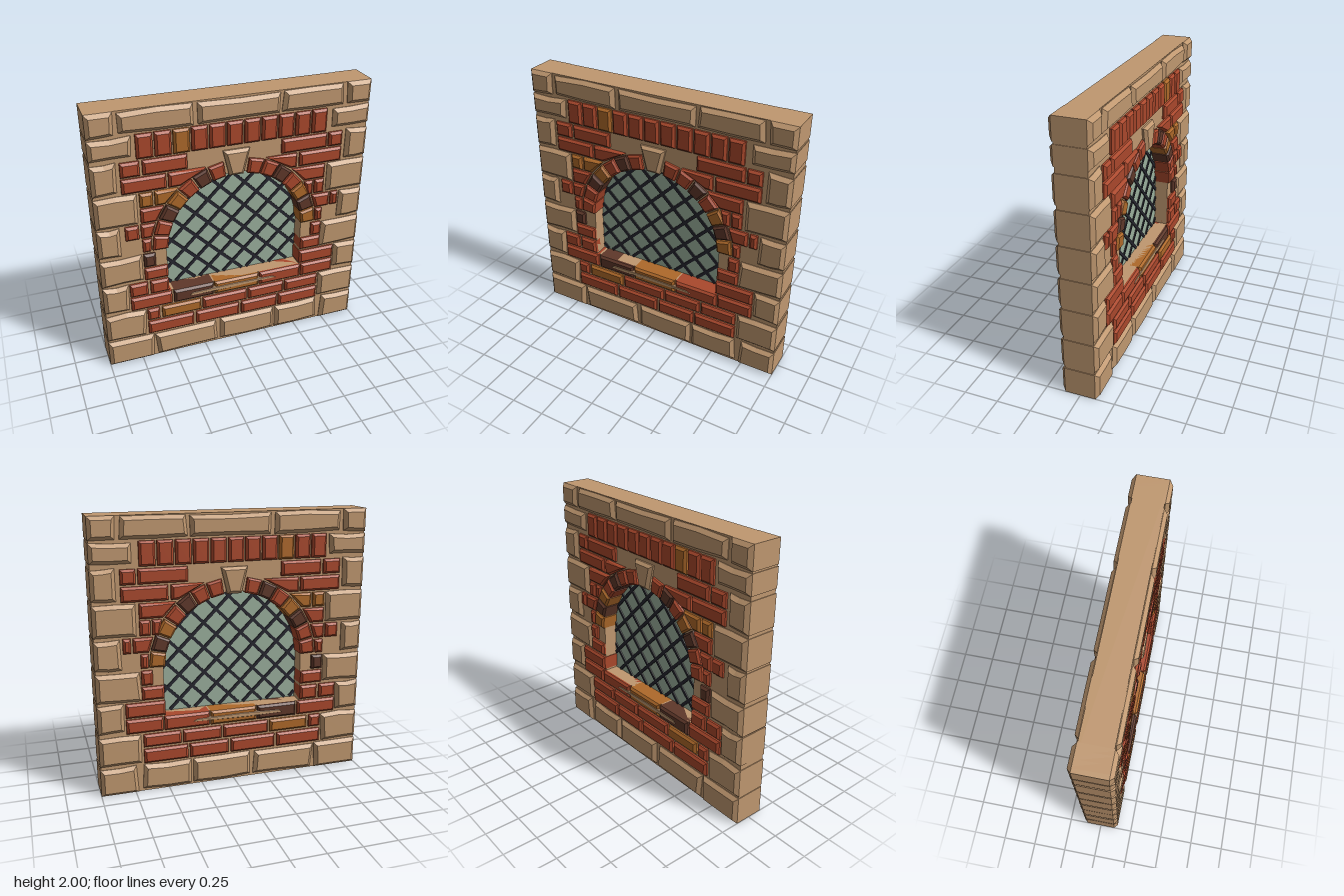
import * as THREE from 'three';

const mat = (name, color) => {
  const m = new THREE.MeshStandardMaterial({ color });
  m.name = name;
  return m;
};

export function createModel() {
  const root = new THREE.Group();
  root.name = 'archedWindowWall';
  const stone = mat('sandstone', 0xc09870);
  const red = mat('redBrick', 0xaa482c);
  const orange = mat('ochreBrick', 0xae692a);
  const dark = mat('burntBrick', 0x5f382a);
  const glass = mat('paleGreenGlass', 0x9bb09d);
  const lead = mat('leadGrey', 0x26262f);

  // Small seeded generator for uneven stone corners
  let seed = 7;
  const rand = () => (seed = (seed * 16807) % 2147483647) / 2147483647;

  const ARCH_Y = 0.93, ARCH_R = 0.52, SILL = 0.57, HALF = 0.137, CLEAR = 0.635;

  // Prism through the whole wall with chamfered front and back edges
  const block = (name, pts, material, bevel = 0.016, half = HALF) => {
    const shape = new THREE.Shape(pts.map(p => new THREE.Vector2(p[0], p[1])));
    const depth = 2 * (half - bevel);
    const geo = new THREE.ExtrudeGeometry(shape, {
      depth, bevelEnabled: bevel > 0, bevelSegments: 1,
      bevelSize: bevel, bevelThickness: bevel, bevelOffset: -bevel
    });
    geo.translate(0, 0, -depth / 2);
    const mesh = new THREE.Mesh(geo, material);
    mesh.name = name;
    root.add(mesh);
  };

  // Arched outline shared by the opening and the pane
  const archOutline = (target, r, y0) => {
    target.moveTo(-r, y0);
    target.lineTo(r, y0);
    target.lineTo(r, ARCH_Y);
    target.absarc(0, ARCH_Y, r, 0, Math.PI, false);
    target.lineTo(-r, y0);
    return target;
  };

  // Mortar core with the window opening
  const wall = new THREE.Shape();
  wall.moveTo(-0.995, 0); wall.lineTo(0.995, 0); wall.lineTo(0.995, 2); wall.lineTo(-0.995, 2); wall.closePath();
  wall.holes.push(archOutline(new THREE.Path(), ARCH_R, SILL));
  const coreGeo = new THREE.ExtrudeGeometry(wall, { depth: 0.214, bevelEnabled: false, curveSegments: 28 });
  coreGeo.translate(0, 0, -0.107);
  const core = new THREE.Mesh(coreGeo, stone);
  core.name = 'mortarCore';
  root.add(core);

  // Border stones, with corners shifted slightly but outer sides flush
  const borderStone = (x0, x1, y0, y1) => {
    const j = v => (Math.abs(v) === 1 ? 0 : (rand() - 0.5) * 0.02);
    const k = v => (v === 0 || v === 2 ? 0 : (rand() - 0.5) * 0.014);
    const c = (x, y) => [x + j(x), y + k(y)];
    block('borderStone', [c(x0, y0), c((x0 + x1) / 2, y0), c(x1, y0), c(x1, y1), c((x0 + x1) / 2, y1), c(x0, y1)],
      stone, 0.026);
  };
  const sideStones = [ // y0, y1, inner edge left, inner edge right
    [1.84, 2, 0.82, 0.82], [1.68, 1.82, 0.715, 0.71], [1.43, 1.65, 0.83, 0.83],
    [1.18, 1.405, 0.705, 0.695], [0.945, 1.16, 0.84, 0.82], [0.71, 0.92, 0.71, 0.685],
    [0.48, 0.69, 0.82, 0.82], [0.225, 0.445, 0.705, 0.69], [0, 0.205, 0.66, 0.73]
  ];
  for (const [y0, y1, l, r] of sideStones) {
    borderStone(-1, -l, y0, y1);
    borderStone(r, 1, y0, y1);
  }
  for (const [x0, x1] of [[-0.795, -0.3], [-0.265, 0.31], [0.335, 0.79]]) borderStone(x0, x1, 1.845, 1.99);
  for (const [x0, x1] of [[-0.635, -0.155], [-0.13, 0.32], [0.335, 0.69]]) borderStone(x0, x1, 0.015, 0.205);

  // Brick whose inner end slants to stay clear of the arch ring
  const brick = (x0, x1, y0, y1, material) => {
    const outer = Math.max(Math.abs(x0), Math.abs(x1));
    const c = (x, y) => {
      const d = y - ARCH_Y;
      if (d <= 0 || d >= CLEAR) return [x, y];
      const limit = Math.min(Math.sqrt(CLEAR * CLEAR - d * d), outer - 0.05);
      return [Math.sign(x) * Math.max(Math.abs(x), limit), y];
    };
    block('brick', [c(x0, y0), c(x1, y0), c(x1, y1), c(x0, y1)], material);
  };

  // Upright course above the arch
  for (let i = 0; i < 11; i++) {
    const x = -0.69 + i * 0.1247;
    brick(x, x + 0.112, 1.66, 1.83, i === 2 ? orange : red);
  }

  // Flat courses: y0, y1, then bricks as [x0, x1, material]
  const courses = [
    [1.54, 1.645, [-0.805, -0.675], [-0.655, -0.35], [0.335, 0.68], [0.695, 0.8]],
    [1.42, 1.525, [-0.805, -0.5], [-0.485, -0.07], [0.06, 0.455], [0.475, 0.8]],
    [1.3, 1.405, [-0.69, -0.6, orange], [-0.585, -0.34, orange], [0.385, 0.68]],
    [1.18, 1.287, [-0.69, -0.475], [0.5, 0.592], [0.605, 0.68]],
    [1.06, 1.165, [-0.805, -0.71], [-0.695, -0.48], [0.55, 0.73], [0.745, 0.8]],
    [0.945, 1.045, [-0.69, -0.6], [0.6, 0.68]],
    [0.82, 0.925, [-0.69, -0.605, dark], [0.6, 0.68]],
    [0.71, 0.805, [-0.69, -0.52], [0.52, 0.68]],
    [0.585, 0.69, [-0.805, -0.675], [-0.655, -0.52], [0.515, 0.8]],
    [0.465, 0.57, [-0.805, -0.5], [-0.485, -0.18, dark], [-0.17, 0.18, orange], [0.19, 0.525], [0.535, 0.8]],
    [0.35, 0.445, [-0.69, -0.6], [-0.58, -0.28, orange], [-0.265, 0.085], [0.1, 0.39], [0.405, 0.68]],
    [0.225, 0.33, [-0.69, -0.34], [-0.32, 0.025], [0.045, 0.34], [0.355, 0.68]]
  ];
  for (const [y0, y1, ...bricks] of courses)
    for (const [x0, x1, m] of bricks) brick(x0, x1, y0, y1, m || red);

  // Arch ring, counted from the keystone downwards
  const polar = (deg, r, side) => {
    const a = THREE.MathUtils.degToRad(deg);
    return [side * Math.sin(a) * r, ARCH_Y + Math.cos(a) * r];
  };
  const ring = [[-1, [red, dark, red, orange, dark, red, red]], [1, [red, red, dark, red, orange, dark, orange]]];
  for (const [side, colours] of ring)
    colours.forEach((m, i) => {
      const a = 14 + i * 11.5, w = 5.2;
      block('archBrick', [polar(a - w, 0.512, side), polar(a + w, 0.512, side),
        polar(a + w, 0.622, side), polar(a - w, 0.622, side)], m, 0.014);
    });
  block('keystone', [[-0.052, 1.435], [0.052, 1.435], [0.097, 1.625], [-0.097, 1.625]], stone, 0.022, 0.142);

  // Thin mortar streak across the course under the sill
  block('sillStreak', [[-0.37, 0.505], [-0.1, 0.5], [0.32, 0.51], [0.29, 0.528], [-0.05, 0.535], [-0.35, 0.528]],
    stone, 0.004, 0.14);

  // Glass pane
  const paneGeo = new THREE.ExtrudeGeometry(archOutline(new THREE.Shape(), ARCH_R + 0.005, SILL - 0.005),
    { depth: 0.01, bevelEnabled: false, curveSegments: 28 });
  paneGeo.translate(0, 0, -0.005);
  const pane = new THREE.Mesh(paneGeo, glass);
  pane.name = 'glassPane';
  root.add(pane);

  // Diagonal lead lattice, each bar trimmed to the opening
  const inside = (x, y) => y > SILL && Math.abs(x) < ARCH_R &&
    (y < ARCH_Y || Math.hypot(x, y - ARCH_Y) < ARCH_R);
  const lattice = new THREE.Group();
  lattice.name = 'leadLattice';
  for (const s of [-1, 1])
    for (let k = -8; k <= 8; k++) {
      const px = 0.01 + k * 0.187, ts = [];
      for (let t = -1.5; t <= 1.5; t += 0.005) if (inside(px + s * t, 0.65 + t)) ts.push(t);
      if (ts.length < 6) continue;
      const t0 = ts[0], t1 = ts[ts.length - 1], mid = (t0 + t1) / 2;
      const bar = new THREE.Mesh(new THREE.BoxGeometry((t1 - t0) * Math.SQRT2, 0.023, 0.026), lead);
      bar.position.set(px + s * mid, 0.65 + mid, 0);
      bar.rotation.z = s * Math.PI / 4;
      bar.name = 'leadBar';
      lattice.add(bar);
    }
  root.add(lattice);
  return root;
}
